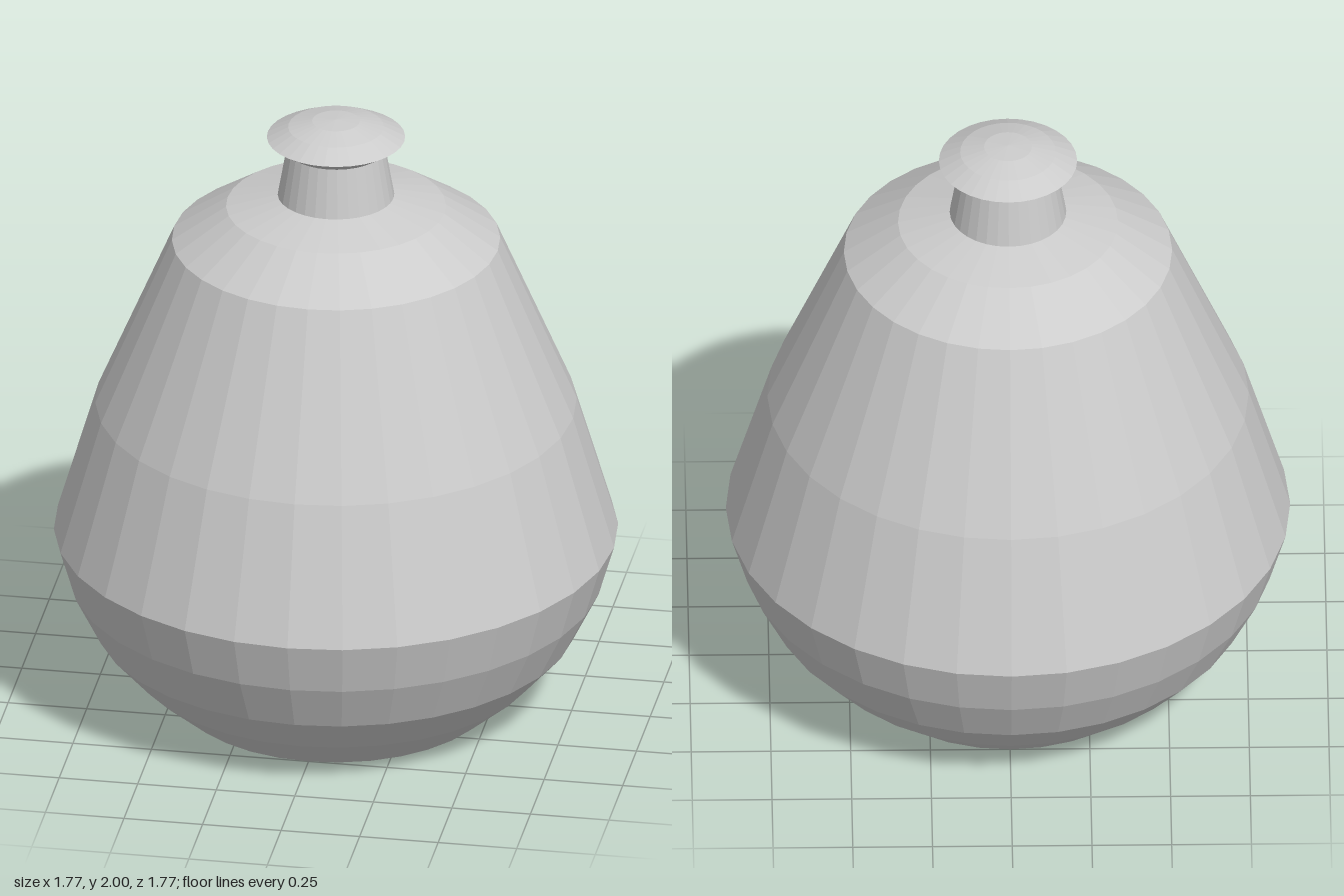
import * as THREE from 'three';

const SEGMENTS = 32;

// Revolve a [radius, height] profile, listed from bottom to top
function turned(name, profile) {
  const points = profile.map(([r, y]) => new THREE.Vector2(r, y));
  const material = new THREE.MeshStandardMaterial({
    color: 0xcccccc, flatShading: true, side: THREE.DoubleSide,
  });
  const mesh = new THREE.Mesh(new THREE.LatheGeometry(points, SEGMENTS), material);
  mesh.name = name;
  return mesh;
}

export function createModel() {
  const model = new THREE.Group();
  model.name = 'bottle';

  model.add(
    // Recessed underside with a shallow central boss
    turned('base', [[0, 0.04], [0.13, 0.04], [0.217, 0.07], [0.5, 0]]),
    // Bulging belly, tapering sides and sloped shoulder
    turned('body', [
      [0.5, 0], [0.64, 0.12], [0.755, 0.25], [0.835, 0.41], [0.885, 0.58],
      [0.755, 1.02], [0.515, 1.585], [0.345, 1.7], [0.183, 1.74],
    ]),
    // Short tapered neck
    turned('neck', [[0.183, 1.74], [0.155, 1.9]]),
    // Flared stopper with a low domed top
    turned('stopper', [
      [0.155, 1.9], [0.217, 1.94], [0.15, 1.975], [0.075, 1.995], [0, 2],
    ]),
  );
  return model;
}
